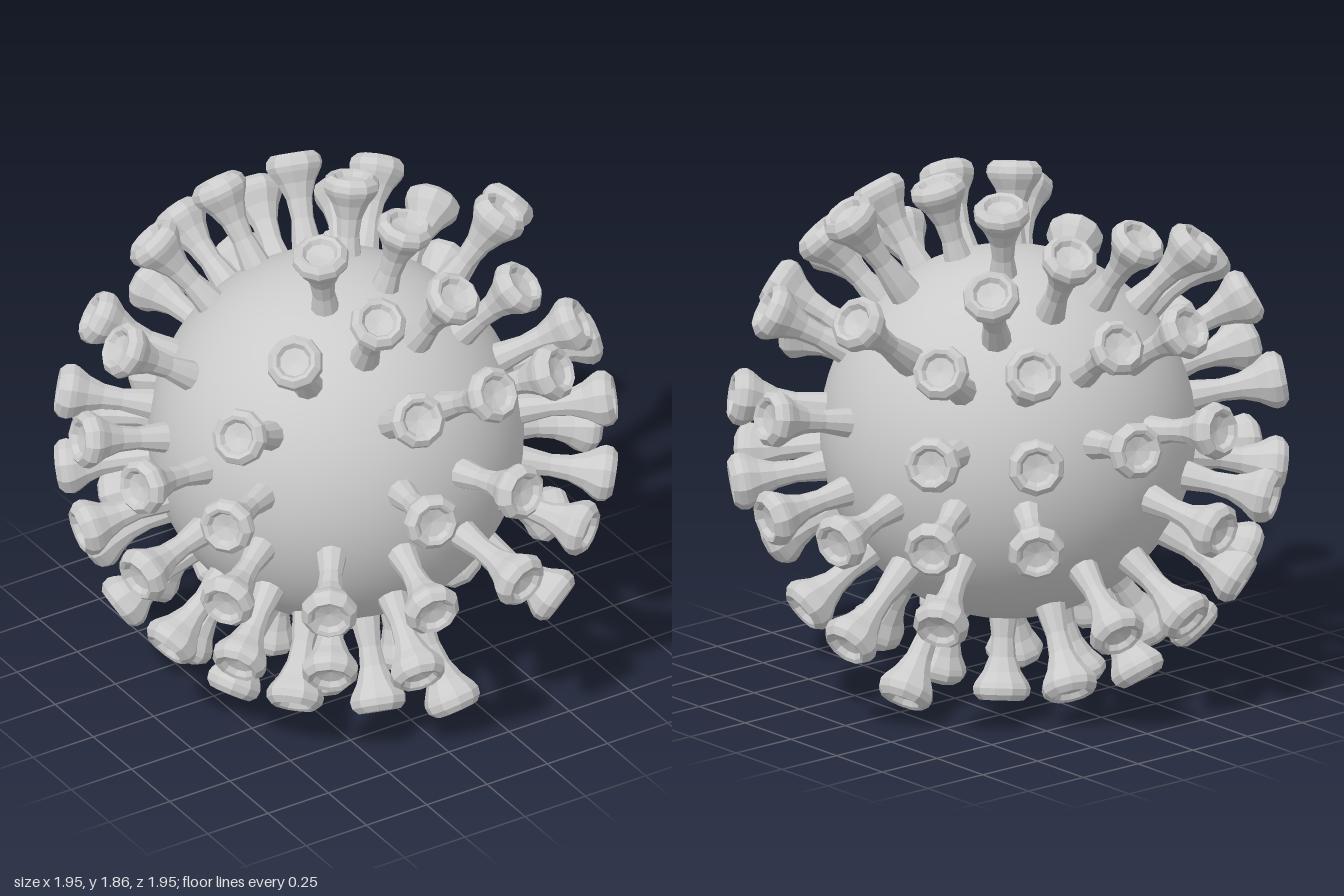
import * as THREE from 'three';

export function createModel() {
  const model = new THREE.Group();
  const smooth = new THREE.MeshStandardMaterial({ color: 0xcccccc });
  const faceted = new THREE.MeshStandardMaterial({ color: 0xcccccc, flatShading: true });

  // Everything radiates from the middle of the body
  const virus = new THREE.Group();
  virus.name = 'virusParticle';
  virus.position.set(0, 0.945, 0.01);
  model.add(virus);

  // Round body
  const body = new THREE.Mesh(new THREE.SphereGeometry(0.66, 48, 32), smooth);
  body.name = 'body';
  virus.add(body);

  // Spike: waisted stalk flaring into a bevelled head with a shallow dish
  const profile = [
    [0.062, 0.57], [0.054, 0.66], [0.04, 0.76], [0.047, 0.83], [0.068, 0.885],
    [0.094, 0.925], [0.102, 0.945], [0.098, 0.97], [0.078, 0.99], [0.064, 0.985],
    [0.052, 0.967], [0, 0.957],
  ].map(([r, y]) => new THREE.Vector2(r, y));
  const spikeGeometry = new THREE.LatheGeometry(profile, 10);
  const headDistance = 0.955;
  const up = new THREE.Vector3(0, 1, 0);

  function addSpike(direction, stretch) {
    const spike = new THREE.Mesh(spikeGeometry, faceted);
    spike.name = 'spike';
    spike.quaternion.setFromUnitVectors(up, direction.clone().normalize());
    spike.scale.y = stretch;
    virus.add(spike);
  }

  // Spikes sit on a 4 x 4 equal-angle grid on each side of a cube blown up to a ball.
  // X marks a spike; columns run along +x (or +z), rows from top (or back) downwards.
  const sides = [
    { at: (u, v) => [u, v, 1], rows: ['.XXX', '.XX.', 'XXXX', 'XX.X'] },
    { at: (u, v) => [u, v, -1], rows: ['.XXX', '.XXX', 'XX.X', 'XXX.'] },
    { at: (u, v) => [1, v, u], rows: ['X..X', 'X.XX', 'XXXX', 'X.X.'] },
    { at: (u, v) => [-1, v, u], rows: ['XX.X', 'XXXX', 'XXXX', 'XXXX'] },
    { at: (u, v) => [u, 1, -v], rows: ['XXXX', '..X.', '.XX.', 'XXXX'] },
    { at: (u, v) => [u, -1, -v], rows: ['XXX.', 'XXX.', 'XXX.', 'XX..'] },
  ];
  const step = (i) => Math.tan((i - 1.5) * Math.PI / 8);
  for (const { at, rows } of sides) {
    rows.forEach((row, j) => [...row].forEach((mark, i) => {
      if (mark !== 'X') return;
      const direction = new THREE.Vector3(...at(step(i), -step(j))).normalize();
      // Spikes near the poles are a little shorter
      addSpike(direction, Math.abs(direction.y) > 0.9 ? 0.955 : 1);
    }));
  }

  // Longer spikes off the grid, given by the middle of the head
  for (const head of [
    [0.117, -0.84, 0.58], [0.82, -0.58, -0.12], [0.585, -0.81, -0.14],
    [0.54, 0.835, 0.22], [0.81, 0.59, -0.15],
  ]) {
    const direction = new THREE.Vector3(...head);
    addSpike(direction, direction.length() / headDistance);
  }

  return model;
}
